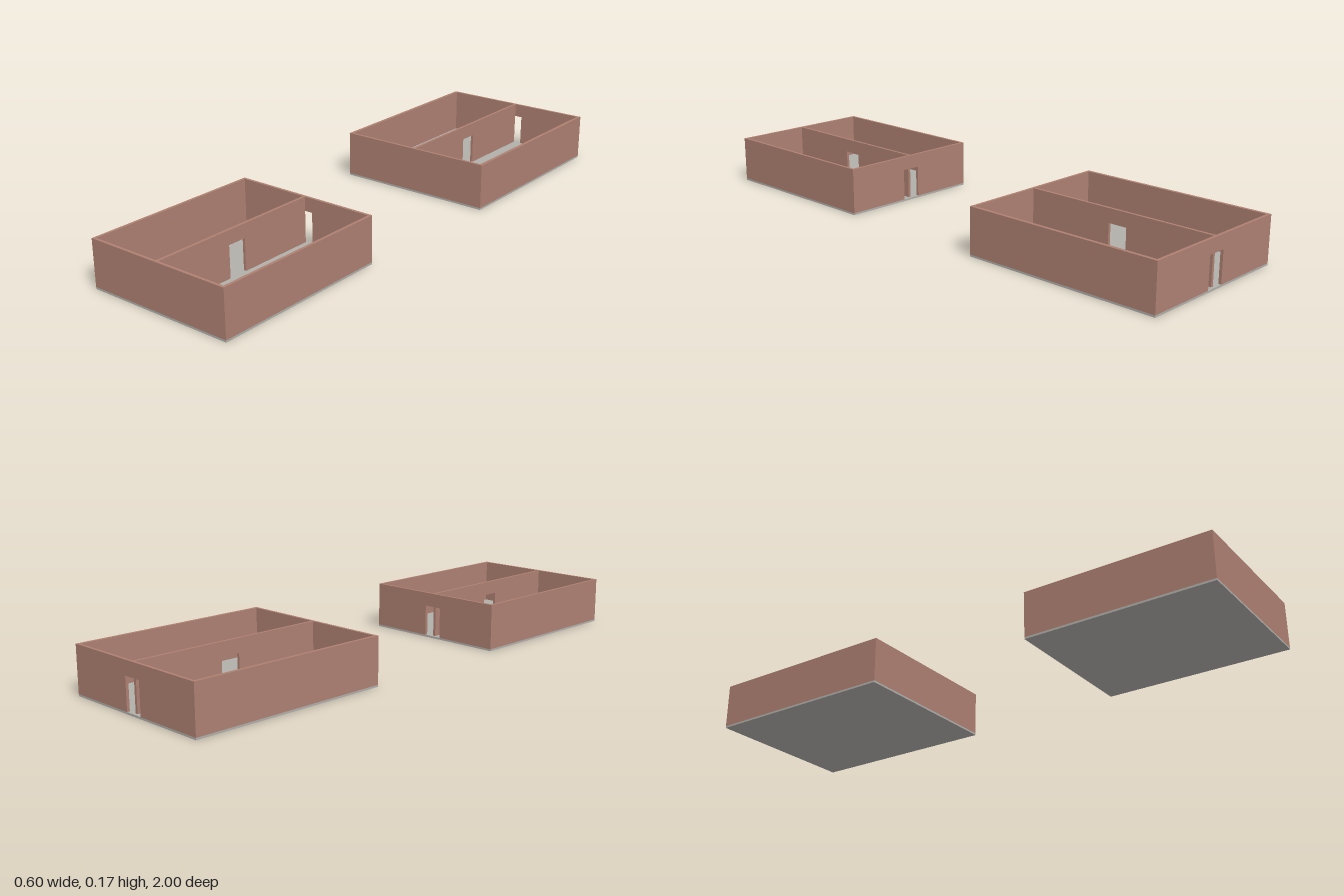
import * as THREE from 'three';

const HEIGHT = 0.17, FLOOR = 0.007, DOOR_W = 0.07, DOOR_TOP = 0.12;

export function createModel() {
  const brick = new THREE.MeshStandardMaterial({ color: 0xae8072 });
  brick.name = 'brick';
  const concrete = new THREE.MeshStandardMaterial({ color: 0xb0afaa });
  concrete.name = 'concrete';

  // Upright wall centred on its length, with an optional doorway in the middle
  function wall(name, length, thickness, hasDoor) {
    const l = length / 2, d = DOOR_W / 2;
    const pts = [[-l, FLOOR]];
    if (hasDoor) pts.push([-d, FLOOR], [-d, DOOR_TOP], [d, DOOR_TOP], [d, FLOOR]);
    pts.push([l, FLOOR], [l, HEIGHT], [-l, HEIGHT]);
    const shape = new THREE.Shape(pts.map(([x, y]) => new THREE.Vector2(x, y)));
    const geo = new THREE.ExtrudeGeometry(shape, { depth: thickness, bevelEnabled: false });
    geo.translate(0, 0, -thickness / 2);
    const mesh = new THREE.Mesh(geo, brick);
    mesh.name = name;
    return mesh;
  }

  // Roofless two-room building: slab, four outer walls and a dividing wall
  function building(name, width, z0, z1, side, end) {
    const g = new THREE.Group();
    g.name = name;
    const depth = z1 - z0;
    g.position.z = (z0 + z1) / 2;

    const slab = new THREE.Mesh(new THREE.BoxGeometry(width, FLOOR, depth), concrete);
    slab.name = 'floorSlab';
    slab.position.y = FLOOR / 2;
    g.add(slab);

    const front = wall('frontWall', width, end, false);
    front.position.z = depth / 2 - end / 2;
    const back = wall('backWall', width, end, true);
    back.position.z = -depth / 2 + end / 2;
    g.add(front, back);

    const inner = depth - 2 * end;
    for (const s of [-1, 1]) {
      const w = wall(s > 0 ? 'leftWall' : 'rightWall', inner, side, false);
      w.rotation.y = Math.PI / 2;
      w.position.x = s * (width / 2 - side / 2);
      g.add(w);
    }
    const divider = wall('dividingWall', inner, 0.01, true);
    divider.rotation.y = Math.PI / 2;
    g.add(divider);
    return g;
  }

  const model = new THREE.Group();
  model.name = 'twoBuildings';
  model.add(building('backBuilding', 0.6, -1, -0.27, 0.012, 0.01));
  model.add(building('frontBuilding', 0.556, 0.335, 1, 0.01, 0.01));
  return model;
}
